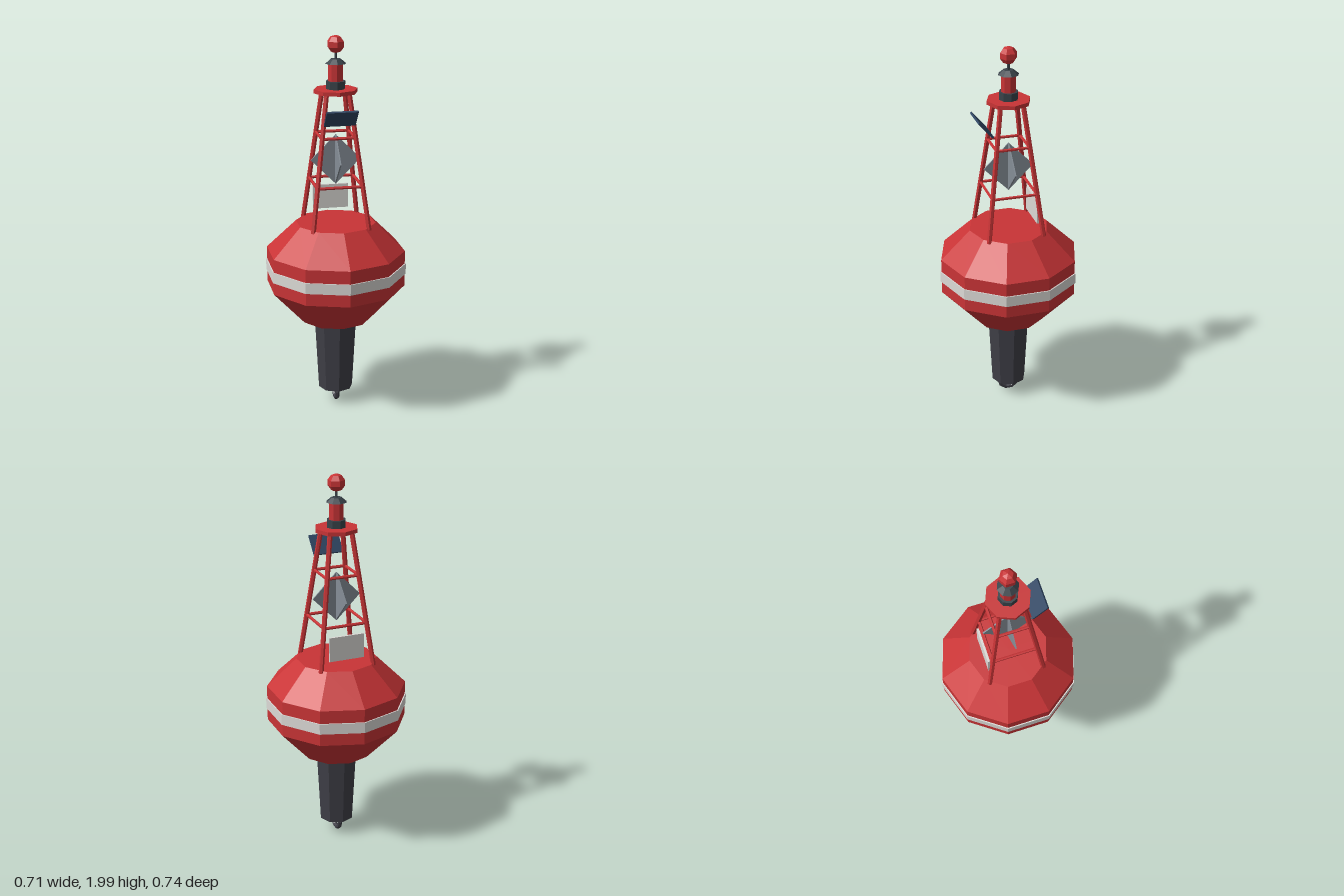
import * as THREE from 'three';

const mats = {};
for (const [name, color] of Object.entries({
  red: 0xc93436, paleGrey: 0xdcdad6, darkGrey: 0x3f3f47,
  slate: 0x3a434a, steel: 0x858e97, panelBlue: 0x2e4562,
})) {
  mats[name] = new THREE.MeshStandardMaterial({ color });
  mats[name].name = name;
}

export function createModel() {
  const model = new THREE.Group();
  model.name = 'buoy';

  // Adds a mesh with faceted normals
  function add(name, geometry, mat, x = 0, y = 0, z = 0) {
    const g = geometry.index ? geometry.toNonIndexed() : geometry;
    g.computeVertexNormals();
    const mesh = new THREE.Mesh(g, mats[mat]);
    mesh.name = name;
    mesh.position.set(x, y, z);
    model.add(mesh);
    return mesh;
  }

  // Upright prism or frustum between two heights
  function drum(name, mat, y0, y1, r0, r1, sides = 8) {
    return add(name, new THREE.CylinderGeometry(r1, r0, y1 - y0, sides), mat, 0, (y0 + y1) / 2, 0);
  }

  // Round bar between two points
  function bar(name, a, b, r, sides = 6) {
    const from = new THREE.Vector3(...a), to = new THREE.Vector3(...b);
    const dir = to.clone().sub(from);
    const mesh = add(name, new THREE.CylinderGeometry(r, r, dir.length(), sides), 'red');
    mesh.position.copy(from).add(to).multiplyScalar(0.5);
    mesh.quaternion.setFromUnitVectors(new THREE.Vector3(0, 1, 0), dir.normalize());
    return mesh;
  }

  // Ten-sided float with its reflective belt
  const hull = [[0, 0.49], [0.189, 0.49], [0.366, 0.68], [0.366, 0.872], [0.21, 1.023], [0, 1.023]]
    .map(([r, y]) => new THREE.Vector2(r, y));
  add('float', new THREE.LatheGeometry(hull, 10), 'red');
  drum('belt', 'paleGrey', 0.746, 0.803, 0.372, 0.372, 10);

  // Tail tube and mooring ring
  drum('tailTube', 'darkGrey', 0.085, 0.495, 0.092, 0.114);
  add('mooringRing', new THREE.TorusGeometry(0.052, 0.012, 6, 10), 'darkGrey', 0, 0.066, 0)
    .rotation.y = Math.PI / 2;

  // Tower legs
  const spread = y => 0.145 - (y - 1.02) * 0.125;
  for (const sx of [-1, 1]) for (const sz of [-1, 1]) {
    const b = spread(1.01), t = spread(1.715);
    bar('towerLeg', [sx * b, 1.01, sz * b], [sx * t, 1.715, sz * t], 0.013);
  }

  // Horizontal braces on all four sides
  for (const y of [1.238, 1.488]) {
    const s = spread(y);
    for (const side of [-1, 1]) {
      bar('brace', [-s, y, side * s], [s, y, side * s], 0.008);
      bar('brace', [side * s, y, -s], [side * s, y, s], 0.008);
    }
  }

  // Radar reflector: two crossed diamond plates
  for (const turn of [0, Math.PI / 2]) {
    const plate = new THREE.BoxGeometry(0.185, 0.185, 0.007).rotateZ(Math.PI / 4).rotateY(turn);
    add('radarReflector', plate, 'steel', 0, 1.36, 0);
  }

  // Number board at the back and tilted solar panel at the front
  add('board', new THREE.BoxGeometry(0.19, 0.13, 0.012), 'paleGrey', 0, 1.125, -0.132);
  add('solarPanel', new THREE.BoxGeometry(0.162, 0.01, 0.113), 'panelBlue', 0, 1.602, 0.138)
    .rotation.x = -0.85;

  // Platform and lantern
  drum('platform', 'red', 1.708, 1.728, 0.113, 0.113);
  drum('lanternBase', 'slate', 1.728, 1.768, 0.05, 0.05);
  drum('lanternLens', 'red', 1.768, 1.862, 0.039, 0.039);
  drum('lanternCap', 'slate', 1.856, 1.88, 0.054, 0.026);

  // Topmark ball on its rod
  drum('topmarkRod', 'slate', 1.875, 1.925, 0.007, 0.007, 6);
  add('topmarkBall', new THREE.SphereGeometry(0.046, 6, 5), 'red', 0, 1.954, 0)
    .rotation.y = Math.PI / 2;

  return model;
}
